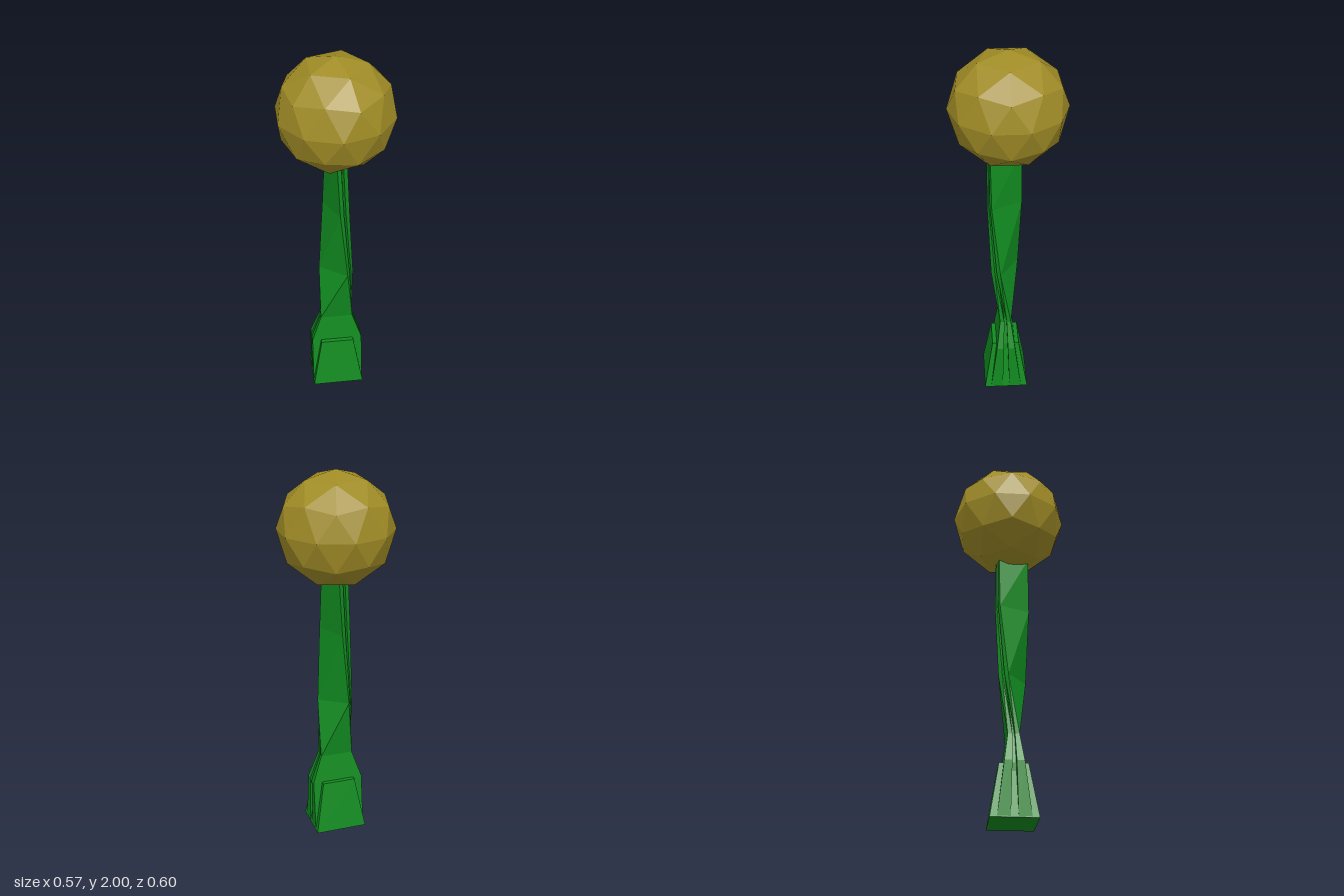
import * as THREE from 'three';

const AXIS_Z = 0.02; // the stem stands slightly in front of the centre

// Stem sections: height, half width, half thickness, twist in degrees
const SECTIONS = [
  [0, 0.139, 0.085, 0],
  [0.28, 0.139, 0.05, 0],
  [0.43, 0.088, 0.03, 0],
  [0.75, 0.088, 0.03, 35],
  [1.15, 0.088, 0.028, 65],
  [1.46, 0.083, 0.028, 75],
];

// Flat slab outline with a narrow groove along both thin edges
function sectionOutline(w, t) {
  const g = t * 0.22, d = w * 0.7;
  const half = [[w, -t], [w, -g], [d, -g], [d, g], [w, g], [w, t]];
  return [...half, ...half.map(([u, v]) => [-u, -v])];
}

// Loft through the twisted sections
function stemGeometry() {
  const positions = [], index = [];
  const n = 12;
  for (const [y, w, t, degrees] of SECTIONS) {
    const a = THREE.MathUtils.degToRad(degrees), c = Math.cos(a), s = Math.sin(a);
    for (const [u, v] of sectionOutline(w, t)) {
      positions.push(u * c - v * s, y, AXIS_Z + u * s + v * c);
    }
  }
  for (let j = 0; j < SECTIONS.length - 1; j++) {
    for (let i = 0; i < n; i++) {
      const a = j * n + i, b = j * n + (i + 1) % n;
      index.push(a, a + n, b, b, a + n, b + n);
    }
  }
  const geometry = new THREE.BufferGeometry();
  geometry.setAttribute('position', new THREE.Float32BufferAttribute(positions, 3));
  geometry.setIndex(index);
  geometry.computeVertexNormals();
  return geometry;
}

// Box narrowed towards its top
function footGeometry() {
  const geometry = new THREE.BoxGeometry(0.28, 0.28, 0.24);
  const p = geometry.attributes.position;
  for (let i = 0; i < p.count; i++) {
    if (p.getY(i) > 0) {
      p.setX(i, p.getX(i) * 0.64);
      p.setZ(i, p.getZ(i) * 0.61);
    }
  }
  geometry.translate(0, 0.14, AXIS_Z);
  geometry.computeVertexNormals();
  return geometry;
}

export function createModel() {
  const group = new THREE.Group();
  const green = new THREE.MeshStandardMaterial({ color: 0x118a20, flatShading: true, side: THREE.DoubleSide });
  const gold = new THREE.MeshStandardMaterial({ color: 0xa08c26, flatShading: true });

  const add = (name, geometry, material) => {
    const mesh = new THREE.Mesh(geometry, material);
    mesh.name = name;
    group.add(mesh);
  };

  add('foot', footGeometry(), green);
  add('twistedStem', stemGeometry(), green);

  // Faceted ball, turned so one corner points straight up
  const ball = new THREE.IcosahedronGeometry(0.302, 1);
  ball.rotateZ(-Math.atan2(1, (1 + Math.sqrt(5)) / 2));
  ball.scale(1, 0.985, 1);
  ball.translate(0, 1.7025, 0);
  add('flowerBall', ball, gold);

  return group;
}
